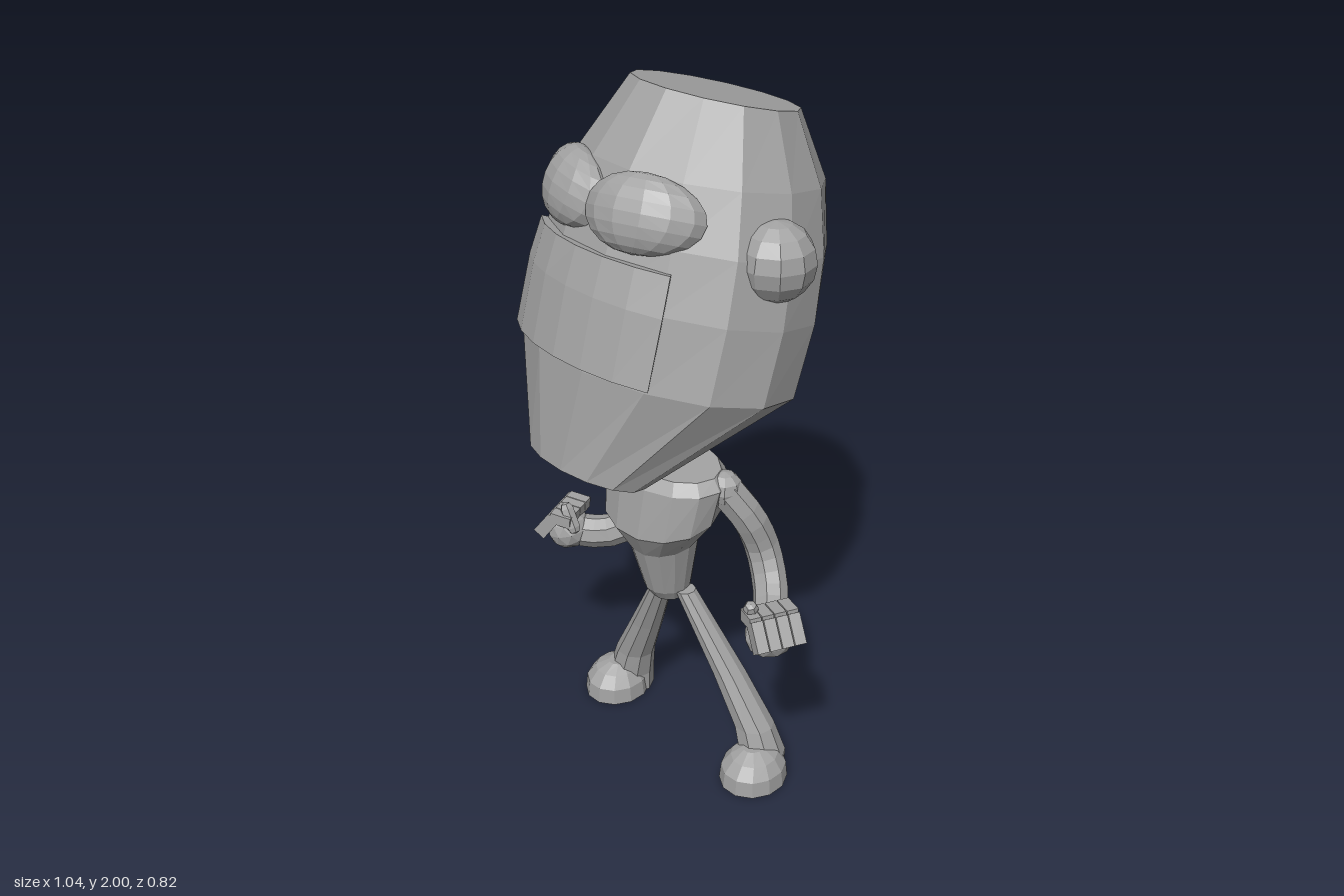
import * as THREE from 'three';

const grey = new THREE.MeshStandardMaterial({ color: 0xa2a2a2, flatShading: true });
grey.name = 'plain grey';
const V = (x, y, z) => new THREE.Vector3(x, y, z);

function add(parent, geometry, name) {
  const mesh = new THREE.Mesh(geometry, grey);
  mesh.name = name;
  parent.add(mesh);
  return mesh;
}

// A ring is [zFront, yFront, zBack, yBack, xRadius, xCentre]: a tilted ellipse
function ringPoint(r, t, scale = 1) {
  const c = Math.cos(t) * scale;
  return V((r[5] || 0) + r[4] * Math.sin(t) * scale,
    (r[1] + r[3]) / 2 + c * (r[1] - r[3]) / 2,
    (r[0] + r[2]) / 2 + c * (r[0] - r[2]) / 2);
}

function fromTriangles(points) {
  const geometry = new THREE.BufferGeometry().setFromPoints(points);
  geometry.computeVertexNormals();
  return geometry;
}

// Skin over rows of points, each row running left to right and rows going up
function skin(rows) {
  const out = [];
  for (let i = 0; i < rows.length - 1; i++) {
    for (let j = 0; j < rows[i].length - 1; j++) {
      const a = rows[i][j], b = rows[i][j + 1], c = rows[i + 1][j + 1], d = rows[i + 1][j];
      out.push(a, b, c, a, c, d);
    }
  }
  return out;
}

// Closed solid through a stack of rings, listed from the bottom up
function loft(rings, sides) {
  const rows = rings.map((r) => Array.from({ length: sides + 1 },
    (_, j) => ringPoint(r, (j + 0.5) / sides * Math.PI * 2)));
  const out = skin(rows);
  const low = rows[0], high = rows[rows.length - 1];
  const lowMid = ringPoint(rings[0], 0, 0), highMid = ringPoint(rings[rings.length - 1], 0, 0);
  for (let j = 0; j < sides; j++) {
    out.push(lowMid, low[j + 1], low[j], highMid, high[j], high[j + 1]);
  }
  return fromTriangles(out);
}

const headRings = [
  [0.415, 1.06, 0.174, 0.976, 0.2],
  [0.375, 1.35, -0.284, 1.183, 0.415],
  [0.325, 1.54, -0.36, 1.37, 0.41],
  [0.27, 1.69, -0.4, 1.54, 0.385],
  [0.2, 1.83, -0.412, 1.71, 0.33],
  [0.063, 2.0, -0.353, 1.89, 0.23],
];

function makeHead() {
  const head = new THREE.Group();
  head.name = 'head';
  head.position.x = -0.038;
  head.rotation.y = -0.08;
  add(head, loft(headRings, 14), 'skull');

  // Mouth plate: a raised patch of the head surface with tucked-in borders
  const levels = [1.05, 1.05, 2, 2.65, 2.65];
  const cols = 6, half = 0.7;
  const rows = levels.map((v, i) => {
    const k = Math.floor(v);
    const ring = headRings[k].map((n, q) => THREE.MathUtils.lerp(n, headRings[k + 1][q], v - k));
    return Array.from({ length: cols + 3 }, (_, j) => {
      const t = (THREE.MathUtils.clamp(j - 1, 0, cols) / cols * 2 - 1) * half;
      const border = i === 0 || i === levels.length - 1 || j === 0 || j === cols + 2;
      return ringPoint(ring, t, border ? 0.94 : 1.05);
    });
  });
  add(head, fromTriangles(skin(rows)), 'mouthPlate');

  for (const s of [-1, 1]) {
    const side = s > 0 ? 'left' : 'right';
    const ear = add(head, new THREE.SphereGeometry(0.105, 10, 8), side + 'Ear');
    ear.position.set(s * 0.35, 1.61 + s * 0.01, -0.04);

    // Eye bulge: an oval bent around the face
    const oval = new THREE.SphereGeometry(1, 14, 10).scale(0.168, 0.1, 0.066);
    const p = oval.attributes.position;
    for (let i = 0; i < p.count; i++) p.setZ(i, p.getZ(i) - 1.3 * p.getX(i) ** 2);
    const eye = add(head, oval, side + 'Eye');
    eye.rotation.set(-0.4, s * 0.38, 0, 'YXZ');
    eye.position.set(s * 0.138, 1.742, 0.215);
  }
  return head;
}

// Fist with curled fingers; local +x points away from the forearm
function makeFist(name) {
  const fist = new THREE.Group();
  fist.name = name;
  const palm = add(fist, new THREE.IcosahedronGeometry(0.075, 1), 'palm');
  palm.scale.set(0.85, 0.85, 0.95);
  for (let i = 0; i < 4; i++) {
    const z = (i - 1.5) * 0.036;
    const knuckle = add(fist, new THREE.BoxGeometry(0.04, 0.085, 0.033), 'finger');
    knuckle.position.set(0.05, 0.015, z);
    knuckle.rotation.z = 0.3;
    const tip = add(fist, new THREE.BoxGeometry(0.065, 0.035, 0.033), 'fingerTip');
    tip.position.set(0.015, 0.06, z);
    tip.rotation.z = -0.25;
  }
  const thumb = add(fist, new THREE.CapsuleGeometry(0.021, 0.06, 2, 6), 'thumb');
  thumb.position.set(-0.005, 0.07, 0.045);
  thumb.rotation.set(0.3, 0, -0.8);
  return fist;
}

function makeArm(name, path, hand) {
  const arm = new THREE.Group();
  arm.name = name;
  const points = path.map((q) => V(...q));
  add(arm, new THREE.TubeGeometry(new THREE.CatmullRomCurve3(points), 12, 0.05, 8), 'sleeve');
  const shoulder = add(arm, new THREE.SphereGeometry(0.052, 8, 6), 'shoulder');
  shoulder.position.copy(points[0]);
  const fist = makeFist('fist');
  fist.position.set(...hand);
  if (hand[0] < 0) fist.scale.z = 1;
  fist.rotation.set(0, hand[0] < 0 ? Math.PI + 0.4 : -0.4, 0.35, 'YXZ');
  // Keep the thumb toward the front on both hands
  if (hand[0] < 0) fist.getObjectByName('thumb').position.z *= -1;
  arm.add(fist);
  return arm;
}

function makeLeg(s) {
  const leg = new THREE.Group();
  leg.name = s > 0 ? 'leftLeg' : 'rightLeg';
  const k = s > 0 ? 1 : -0.88;
  // Flat rings: [y, zFront, zBack, xRadius, xCentre]
  const stack = (list) => list.map(([y, f, b, r, x]) => [f, y, b, y, r, x * k]);
  add(leg, loft(stack([
    [0, 0.04, -0.105, 0.07, 0.3],
    [0.06, 0.035, -0.105, 0.07, 0.3],
    [0.15, 0.03, -0.088, 0.062, 0.27],
    [0.3, 0.038, -0.058, 0.05, 0.185],
    [0.54, 0.062, 0, 0.03, 0.045],
  ]), 9), 'shin');
  add(leg, loft(stack([
    [0, 0.12, -0.09, 0.095, 0.315],
    [0.05, 0.115, -0.085, 0.09, 0.315],
    [0.085, 0.085, -0.06, 0.066, 0.315],
    [0.105, 0.045, -0.03, 0.03, 0.31],
  ]), 12), 'foot');
  return leg;
}

export function createModel() {
  const model = new THREE.Group();
  model.name = 'figure';
  model.add(makeHead());

  const neck = add(model, new THREE.CylinderGeometry(0.035, 0.045, 0.22, 8), 'neck');
  neck.position.set(-0.02, 1.04, 0.02);
  neck.rotation.x = 0.1;

  // Torso: chest band over a waist that narrows to the hips
  const x = -0.018;
  add(model, loft([
    [0.085, 0.505, -0.01, 0.505, 0.05, x],
    [0.11, 0.54, -0.03, 0.54, 0.066, x],
    [0.155, 0.69, -0.05, 0.72, 0.1, x],
    [0.2, 0.77, -0.085, 0.87, 0.19, x],
    [0.175, 0.92, -0.085, 0.94, 0.21, x],
    [0.15, 0.955, -0.065, 0.97, 0.185, x],
  ], 14), 'torso');

  model.add(makeArm('leftArm', [[0.165, 0.915, 0], [0.21, 0.82, -0.05], [0.23, 0.71, -0.09],
    [0.28, 0.62, -0.07], [0.35, 0.57, 0], [0.4, 0.585, 0.05]], [0.415, 0.595, 0.075]));
  model.add(makeArm('rightArm', [[-0.195, 0.915, 0], [-0.21, 0.82, -0.05], [-0.205, 0.7, -0.09],
    [-0.26, 0.6, -0.07], [-0.33, 0.55, 0], [-0.39, 0.55, 0.05]], [-0.415, 0.56, 0.075]));

  for (const s of [-1, 1]) model.add(makeLeg(s));
  return model;
}
